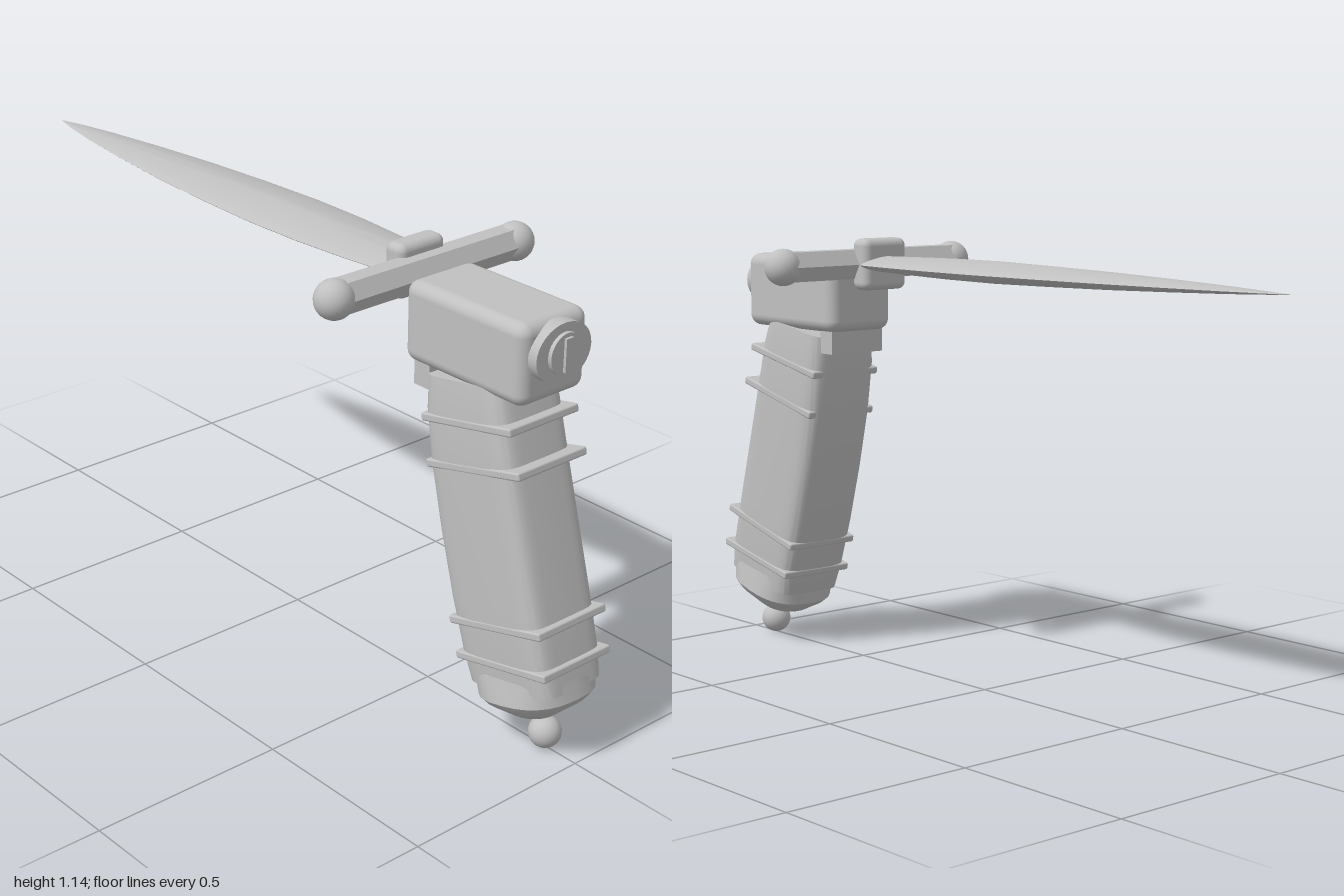
import * as THREE from 'three';
import { toCreasedNormals } from 'three/addons/utils/BufferGeometryUtils.js';
import { RoundedBoxGeometry } from 'three/addons/geometries/RoundedBoxGeometry.js';

// Loft of superellipse rings. Ring: [z, y] of one edge, [z, y] of the opposite edge,
// half width in x, exponent (2 = ellipse, larger = squarer, smaller = sharper).
function loft(rings, crease = 0.6, n = 32) {
  const pos = [], idx = [];
  const pw = (v, e) => Math.sign(v) * Math.pow(Math.abs(v) < 1e-9 ? 0 : Math.abs(v), 2 / e);
  for (const [[fz, fy], [bz, by], hx, e] of rings) {
    for (let i = 0; i < n; i++) {
      const a = (i / n) * Math.PI * 2, s = pw(Math.sin(a), e) / 2;
      pos.push(hx * pw(Math.cos(a), e), (fy + by) / 2 + s * (fy - by), (fz + bz) / 2 + s * (fz - bz));
    }
  }
  const last = rings.length - 1;
  for (const k of [0, last]) {
    const [f, b] = rings[k];
    pos.push(0, (f[1] + b[1]) / 2, (f[0] + b[0]) / 2);
  }
  const c0 = rings.length * n;
  for (let i = 0; i < n; i++) {
    const j = (i + 1) % n;
    for (let k = 0; k < last; k++) {
      const a = k * n + i, b = k * n + j;
      idx.push(a, b, a + n, b, b + n, a + n);
    }
    idx.push(c0, j, i, c0 + 1, last * n + i, last * n + j);
  }
  const g = new THREE.BufferGeometry();
  g.setAttribute('position', new THREE.Float32BufferAttribute(pos, 3));
  g.setIndex(idx);
  return toCreasedNormals(g, crease);
}

export function createModel() {
  const group = new THREE.Group();
  const steel = new THREE.MeshStandardMaterial({ color: 0xc0c0c0 });
  steel.name = 'light grey';
  const add = (name, geo, x = 0, y = 0, z = 0) => {
    const m = new THREE.Mesh(geo, steel);
    m.name = name;
    m.position.set(x, y, z);
    group.add(m);
    return m;
  };

  // Blade: lens section, leaf outline, from tip to base
  const blade = [[-1, 0.001, 0.001], [-0.93, 0.02, 0.004], [-0.82, 0.042, 0.009], [-0.65, 0.067, 0.015],
    [-0.45, 0.09, 0.021], [-0.25, 0.105, 0.025], [-0.05, 0.113, 0.028], [0.12, 0.11, 0.027],
    [0.27, 0.099, 0.024], [0.39, 0.086, 0.021]];
  add('blade', loft(blade.map(([z, w, t]) => [[z, 1.072 + t], [z, 1.072 - t], w, 1.4])));

  // Cross guard with ball ends and a centre collar
  add('guardBar', new THREE.CylinderGeometry(0.044, 0.044, 0.57, 6).toNonIndexed(), 0, 1.072, 0.457)
    .rotation.z = Math.PI / 2;
  group.getObjectByName('guardBar').geometry.computeVertexNormals();
  for (const s of [-1, 1]) add('guardBall', new THREE.SphereGeometry(0.048, 24, 16), s * 0.283, 1.072, 0.46);
  add('guardCollar', new RoundedBoxGeometry(0.142, 0.135, 0.062, 3, 0.02), 0, 1.072, 0.418);

  // Head block with round cap, boss and slot key
  add('headBlock', new RoundedBoxGeometry(0.208, 0.197, 0.38, 4, 0.03), 0, 0.986, 0.683);
  const disc = (name, rx, ry, z0, z1) => {
    const g = new THREE.CylinderGeometry(1, 1, z1 - z0, 32).rotateX(Math.PI / 2).scale(rx, ry, 1);
    add(name, g, 0, 1.008, (z0 + z1) / 2);
  };
  disc('capDisc', 0.086, 0.071, 0.86, 0.896);
  disc('capBoss', 0.05, 0.05, 0.88, 0.906);
  add('capKey', new THREE.BoxGeometry(0.022, 0.08, 0.02), 0, 1.008, 0.903);
  add('headLug', new THREE.BoxGeometry(0.17, 0.07, 0.05), 0, 0.864, 0.54);

  // Curved grip, squarish section
  add('grip', loft([
    [[0.795, 0.914], [0.555, 0.87], 0.1, 6],
    [[0.815, 0.85], [0.56, 0.79], 0.108, 6],
    [[0.85, 0.72], [0.58, 0.66], 0.109, 6],
    [[0.895, 0.56], [0.617, 0.5], 0.109, 6],
    [[0.94, 0.4], [0.662, 0.34], 0.109, 6],
    [[0.975, 0.27], [0.705, 0.21], 0.108, 6],
    [[0.99, 0.2], [0.73, 0.14], 0.102, 6],
  ], 0.7, 48));

  // Thin bands around the grip, given by their front and back ends
  const bands = [[0.85, 0.829, 0.566, 0.77], [0.882, 0.733, 0.587, 0.66],
    [0.968, 0.364, 0.679, 0.286], [0.99, 0.264, 0.705, 0.203]];
  for (const [fz, fy, bz, by] of bands) {
    const len = Math.hypot(fz - bz, fy - by);
    add('gripBand', new RoundedBoxGeometry(0.22, 0.02, len, 2, 0.005), 0, (fy + by) / 2, (fz + bz) / 2)
      .rotation.x = -Math.atan2(fy - by, fz - bz);
  }

  // Pommel: flared collar and blunt cone
  add('pommel', loft([
    [[0.985, 0.225], [0.727, 0.175], 0.106, 4],
    [[0.999, 0.176], [0.737, 0.107], 0.118, 2.6],
    [[0.985, 0.152], [0.75, 0.096], 0.106, 2.5],
    [[0.93, 0.1], [0.795, 0.075], 0.06, 2.3],
  ], 0.4));
  add('pommelBall', new THREE.SphereGeometry(0.04, 24, 16), 0, 0.04, 0.9);

  return group;
}
